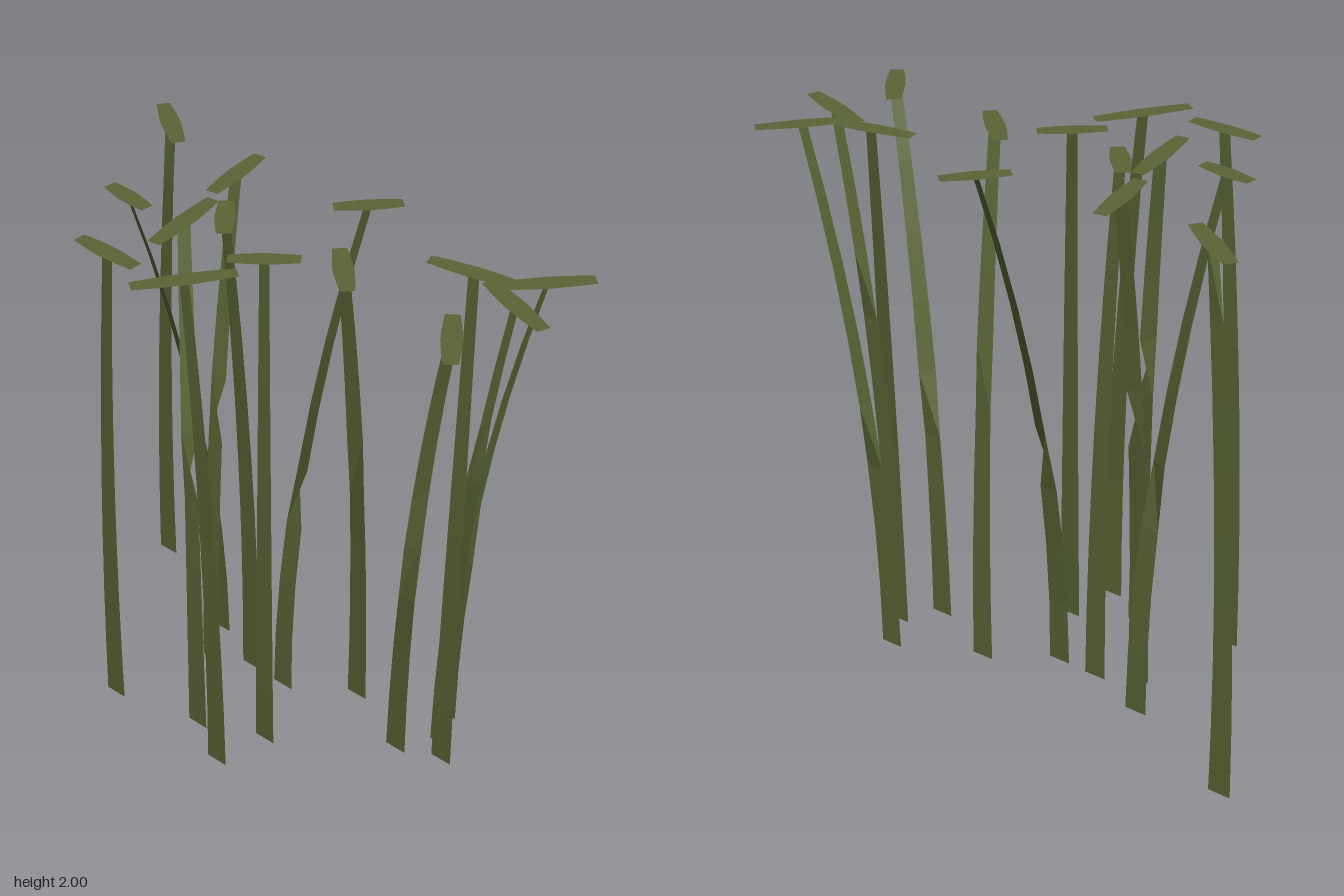
import * as THREE from 'three';

const HEIGHT = 2;
const SEGMENTS = 8;
const TURN_SLOPE = 0.131; // lean beyond which a blade turns square to its bend

// Each stalk: base [x, z], top [x, z] and half length of its tip leaf [x, z]
const STALKS = [
  { base: [0.405, -0.915], top: [0.365, -0.79], cap: [0.085, -0.115] },
  { base: [0.19, -0.435], top: [-0.095, -0.555], cap: [-0.015, 0.1] },
  { base: [-0.345, -0.485], top: [-0.39, -0.365], cap: [-0.005, 0.13] },
  { base: [-0.27, -0.14], top: [-0.09, -0.31], cap: [0.165, -0.02] },
  { base: [0.03, -0.34], top: [0.25, -0.385], cap: [0.145, -0.02] },
  { base: [0.10, -0.20], top: [0.015, -0.225], cap: [0.08, -0.065] },
  { base: [-0.368, 0.043], top: [-0.35, -0.07], cap: [0.14, 0.1] },
  { base: [-0.17, 0.1], top: [-0.095, 0.04], cap: [0.075, 0.09] },
  { base: [0.095, -0.04], top: [0.38, 0.08], cap: [0.085, 0.08] },
  { base: [0.235, 0.205], top: [0.02, 0.27], cap: [0.09, -0.09] },
  { base: [0.105, 0.493], top: [-0.07, 0.765], cap: [0.11, -0.08] },
  { base: [0.165, 0.655], top: [0.275, 0.59], cap: [0.03, 0.155] },
  { base: [0.23, 0.6], top: [0.207, 0.8], cap: [0.055, -0.145] },
  { base: [0.367, 0.524], top: [0.376, 0.8], cap: [0.115, 0.105] },
];

// Flat strip through a list of [left, right] point pairs
function ribbon(pairs) {
  const index = [];
  for (let i = 0; i < pairs.length - 1; i++) {
    const a = i * 2;
    index.push(a, a + 1, a + 2, a + 1, a + 3, a + 2);
  }
  const geometry = new THREE.BufferGeometry();
  geometry.setAttribute('position', new THREE.Float32BufferAttribute(pairs.flat(2), 3));
  geometry.setIndex(index);
  const flat = geometry.toNonIndexed();
  flat.computeVertexNormals();
  return flat;
}

// Narrowing blade that leans over quadratically; its width runs along z
// until the lean is steep enough, then square to the direction of the lean
function bladeGeometry({ base, top }) {
  const leanX = top[0] - base[0], leanZ = top[1] - base[1];
  const lean = Math.hypot(leanX, leanZ);
  const pairs = [];
  for (let i = 0; i <= SEGMENTS; i++) {
    const t = i / SEGMENTS;
    const x = base[0] + leanX * t * t;
    const z = base[1] + leanZ * t * t;
    const half = THREE.MathUtils.lerp(0.0425, 0.021, t);
    const turned = (2 * lean * t) / HEIGHT > TURN_SLOPE;
    const dx = turned ? (-leanZ / lean) * half : 0;
    const dz = turned ? (-leanX / lean) * half : half;
    // A blade leaning towards +x flips over where it turns
    pairs.push([[x - dx, t * HEIGHT, z + dz], [x + dx, t * HEIGHT, z - dz]]);
  }
  return ribbon(pairs);
}

// Level leaf across the tip, widest in the middle
function capGeometry({ top, cap }) {
  const length = Math.hypot(cap[0], cap[1]);
  const nx = -cap[1] / length, nz = cap[0] / length;
  const sections = [[-1, 0.024], [-0.5, 0.031], [0, 0.035], [0.5, 0.031], [1, 0.024]];
  return ribbon(sections.map(([s, w]) => {
    const x = top[0] + cap[0] * s, z = top[1] + cap[1] * s;
    return [[x - nx * w, HEIGHT, z - nz * w], [x + nx * w, HEIGHT, z + nz * w]];
  }));
}

export function createModel() {
  const model = new THREE.Group();
  model.name = 'grassClump';
  const green = new THREE.MeshStandardMaterial({
    name: 'olive green', color: 0x5a6535, side: THREE.DoubleSide, flatShading: true,
  });

  STALKS.forEach((stalk, i) => {
    const group = new THREE.Group();
    group.name = `stalk${i + 1}`;
    const blade = new THREE.Mesh(bladeGeometry(stalk), green);
    blade.name = 'blade';
    const cap = new THREE.Mesh(capGeometry(stalk), green);
    cap.name = 'tipLeaf';
    group.add(blade, cap);
    model.add(group);
  });
  return model;
}
